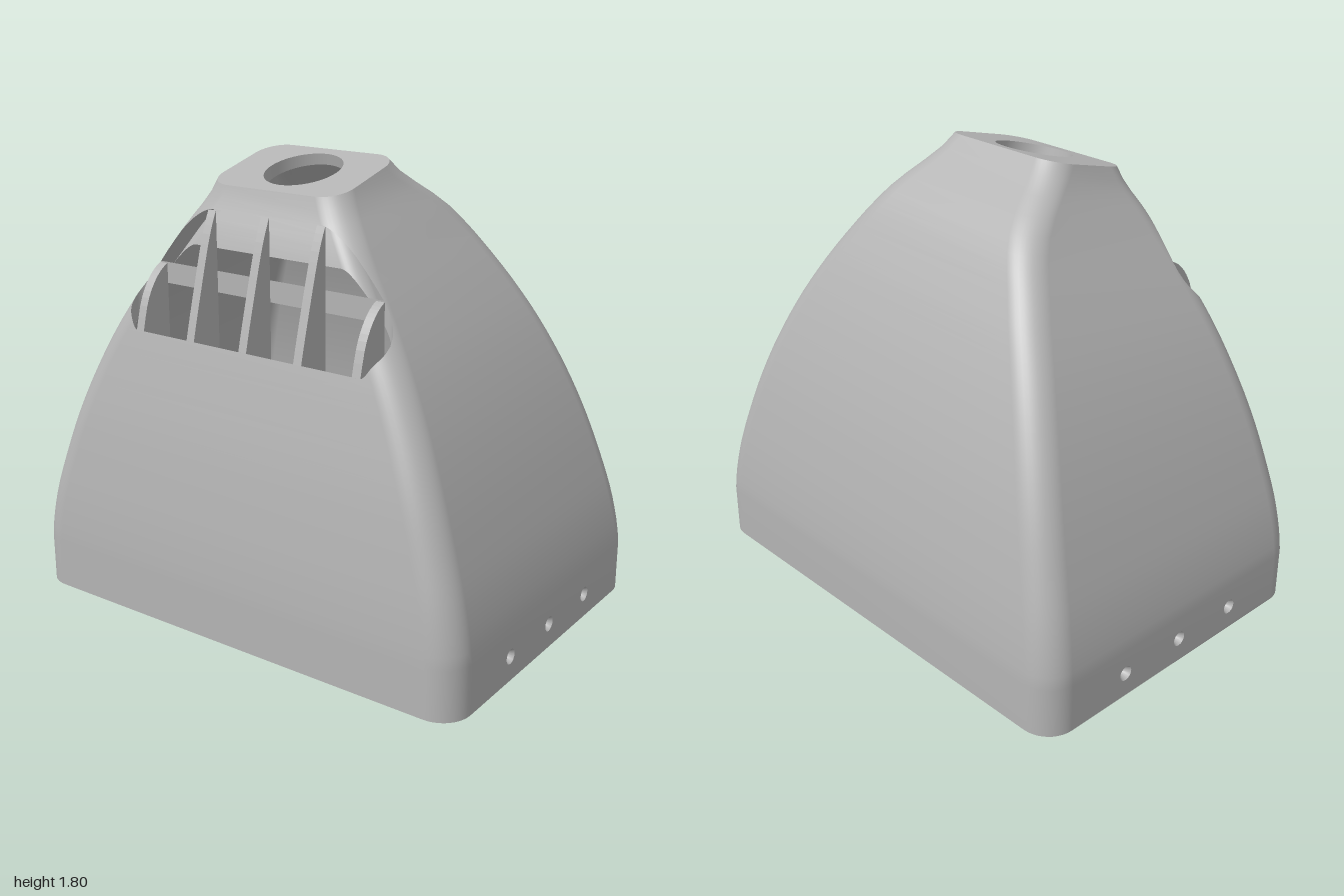
import * as THREE from 'three';

const WALL = 0.055, INNER_TOP = 0.97;

// Half-width, front depth and back depth of the hood from shoulder (t = 0) to top (t = 1)
const profile = values => {
  const curve = new THREE.SplineCurve(values.map((v, i) => new THREE.Vector2(i, v)));
  return t => curve.getPoint(THREE.MathUtils.clamp(t, 0, 1)).y;
};
const halfWidth = profile([1, 0.968, 0.912, 0.845, 0.765, 0.668, 0.55, 0.42, 0.3]);
const frontZ = profile([0.7, 0.69, 0.67, 0.645, 0.61, 0.57, 0.52, 0.465, 0.395]);
const backZ = profile([-0.7, -0.68, -0.645, -0.6, -0.54, -0.465, -0.37, -0.24, 0]);

// Rounded-rectangle cross-section, inset by d; t from -1 to 0 is the straight skirt
function section(t, d) {
  const w = halfWidth(t) - d, zf = frontZ(t) - d, zb = backZ(t) + d;
  const r = 0.12 - 0.02 * Math.max(t, 0) - d * 0.8;
  return { w, zf, zb, r, cz: (zf + zb) / 2, h: (zf - zb) / 2 };
}

// Sections tilt forward gradually towards the sloping top
function heightAt(t, z, s) {
  if (t < 0) return 0.2 * (1 + t);
  return 0.2 + 1.6 * t - 0.1 * t * (z - s.zb) / (s.zf - s.zb);
}

function sectionLoop(t, d, steps = 10) {
  const s = section(t, d), pts = [];
  [[1, 1], [-1, 1], [-1, -1], [1, -1]].forEach(([sx, sz], q) => {
    for (let i = 0; i <= steps; i++) {
      const a = (q + i / steps) * Math.PI / 2;
      const x = sx * (s.w - s.r) + s.r * Math.cos(a);
      const z = s.cz + sz * (s.h - s.r) + s.r * Math.sin(a);
      pts.push([x, heightAt(t, z, s), z]);
    }
  });
  return pts;
}

// Height of the skin above a plan point, found by bisection
function skinHeight(x, z, d) {
  let lo = 0, hi = d ? INNER_TOP : 1;
  for (let i = 0; i < 30; i++) {
    const t = (lo + hi) / 2, s = section(t, d);
    const qx = Math.abs(x) - s.w + s.r, qz = Math.abs(z - s.cz) - s.h + s.r;
    const dist = Math.hypot(Math.max(qx, 0), Math.max(qz, 0)) + Math.min(Math.max(qx, qz), 0) - s.r;
    if (dist < 0) lo = t; else hi = t;
  }
  return heightAt(lo, z, section(lo, d));
}

// Closed loops joined into a skin
function loft(loops, flip = false) {
  const n = loops[0].length, index = [];
  for (let j = 0; j < loops.length - 1; j++) {
    for (let i = 0; i < n; i++) {
      const a = j * n + i, b = j * n + (i + 1) % n, c = b + n, e = a + n;
      if (flip) index.push(a, c, e, a, b, c);
      else index.push(a, e, c, a, c, b);
    }
  }
  const g = new THREE.BufferGeometry();
  g.setAttribute('position', new THREE.Float32BufferAttribute(loops.flat(2), 3));
  g.setIndex(index);
  g.computeVertexNormals();
  return g;
}

// Cut convex outlines through a skin; u and v are the axes of the outline's plane
function cutHoles(geometry, holes) {
  const g = geometry.toNonIndexed(), P = g.attributes.position, N = g.attributes.normal;
  let polys = [];
  for (let i = 0; i < P.count; i += 3) {
    polys.push([0, 1, 2].map(k => [P.getX(i + k), P.getY(i + k), P.getZ(i + k),
      N.getX(i + k), N.getY(i + k), N.getZ(i + k)]));
  }
  for (const { outline, u, v } of holes) {
    const range = k => [Math.min(...outline.map(p => p[k])), Math.max(...outline.map(p => p[k]))];
    const [u0, u1] = range(0), [v0, v1] = range(1), kept = [];
    for (let poly of polys) {
      if (poly.every(p => p[u] < u0) || poly.every(p => p[u] > u1) ||
          poly.every(p => p[v] < v0) || poly.every(p => p[v] > v1)) { kept.push(poly); continue; }
      for (let i = 0; i < outline.length && poly.length > 2; i++) {
        const a = outline[i], b = outline[(i + 1) % outline.length], inside = [], outside = [];
        const side = p => (b[0] - a[0]) * (p[v] - a[1]) - (b[1] - a[1]) * (p[u] - a[0]);
        poly.forEach((p, k) => {
          const q = poly[(k + 1) % poly.length], sp = side(p), sq = side(q);
          (sp >= 0 ? inside : outside).push(p);
          if ((sp >= 0) !== (sq >= 0)) {
            const m = p.map((c, j) => c + (q[j] - c) * sp / (sp - sq));
            inside.push(m);
            outside.push(m);
          }
        });
        if (outside.length > 2) kept.push(outside);
        poly = inside;
      }
    }
    polys = kept;
  }
  const pos = [], nor = [];
  for (const poly of polys) {
    for (let k = 1; k < poly.length - 1; k++) {
      for (const p of [poly[0], poly[k], poly[k + 1]]) {
        pos.push(p[0], p[1], p[2]);
        nor.push(p[3], p[4], p[5]);
      }
    }
  }
  const out = new THREE.BufferGeometry();
  out.setAttribute('position', new THREE.Float32BufferAttribute(pos, 3));
  out.setAttribute('normal', new THREE.Float32BufferAttribute(nor, 3));
  return out;
}

const circle = (cu, cv, r, n) => Array.from({ length: n }, (_, i) => {
  const a = i / n * Math.PI * 2;
  return [cu + r * Math.cos(a), cv + r * Math.sin(a)];
});

// Flat sloping top with a round opening
function capGeometry(t, d, opening) {
  const toVec = ([x, z]) => new THREE.Vector2(x, z);
  const shape = new THREE.Shape(sectionLoop(t, d).map(p => toVec([p[0], p[2]])));
  shape.holes.push(new THREE.Path(opening.map(toVec)));
  const g = new THREE.ShapeGeometry(shape), p = g.attributes.position, s = section(t, d);
  for (let i = 0; i < p.count; i++) {
    const z = p.getY(i);
    p.setXYZ(i, p.getX(i), heightAt(t, z, s), z);
  }
  g.computeVertexNormals();
  return g;
}

export function createModel() {
  const group = new THREE.Group();
  const grey = new THREE.MeshStandardMaterial({ color: 0xb4b4b4, side: THREE.DoubleSide });
  grey.name = 'grey';
  const add = (name, geometry) => {
    const mesh = new THREE.Mesh(geometry, grey);
    mesh.name = name;
    group.add(mesh);
  };

  // Vent outline in plan: a slot with round ends
  const VR = 0.073, VZ = 0.498, VX = 0.517;
  const vent = circle(0, VZ, VR, 48).flatMap(([x, z], i) => {
    const shift = i < 12 || i > 36 ? VX : -VX;
    return i === 12 || i === 36 ? (i === 12 ? [[VX, z], [-VX, z]] : [[-VX, z], [VX, z]]) : [[x + shift, z]];
  });
  const boltZ = [-0.3, 0, 0.3];
  const holes = r => [{ outline: vent, u: 0, v: 2 },
    ...boltZ.map(z => ({ outline: circle(0.1, z, r, 16), u: 1, v: 2 }))];

  // Outer and inner skins
  const rows = top => [-1, ...Array.from({ length: 33 }, (_, i) => i / 32 * top)];
  add('outerShell', cutHoles(loft(rows(1).map(t => sectionLoop(t, 0))), holes(0.03)));
  add('innerShell', cutHoles(loft(rows(INNER_TOP).map(t => sectionLoop(t, WALL)), true), holes(0.016)));
  add('baseRim', loft([sectionLoop(-1, WALL), sectionLoop(-1, 0)]));

  // Top plate with its round opening
  const openTop = circle(0, 0.193, 0.148, 48), openLow = circle(0, 0.182, 0.148, 48);
  add('topPlate', capGeometry(1, 0, openTop));
  add('topPlateUnderside', capGeometry(INNER_TOP, WALL, openLow));
  const atCap = (loop, t, d) => loop.map(([x, z]) => [x, heightAt(t, z, section(t, d)), z]);
  add('topOpeningWall', loft([atCap(openLow, INNER_TOP, WALL), atCap(openTop, 1, 0)], true));

  // Vent side walls, from the inner skin to the outer skin
  const onSkin = d => vent.map(([x, z]) => [x, skinHeight(x, z, d), z]);
  add('ventWall', loft([onSkin(WALL), onSkin(0)], true));

  // Upright fins across the vent
  const FIN = 0.036;
  for (const x of [-0.503, -0.25, 0, 0.25, 0.503]) {
    const edge = Math.abs(x) + FIN / 2, pts = [];
    for (let i = 0; i <= 12; i++) {
      const z = VZ - VR + i / 12 * VR * 2;
      pts.push(new THREE.Vector2(z, skinHeight(edge, z, 0)));
    }
    pts.push(new THREE.Vector2(VZ + VR, 0.94), new THREE.Vector2(VZ - VR, 1.05));
    const g = new THREE.ExtrudeGeometry(new THREE.Shape(pts), { depth: FIN, bevelEnabled: false });
    add('ventFin', g.rotateY(-Math.PI / 2).translate(x + FIN / 2, 0, 0));
  }

  // Countersunk bolt holes on both sides
  for (const s of [-1, 1]) {
    for (const z of boltZ) {
      const ring = (x, r) => circle(0.1, z, r, 16).map(([y, w]) => [s * x, y, w]);
      add('boltHole', loft([ring(1, 0.03), ring(0.975, 0.016), ring(1 - WALL, 0.016)]));
    }
  }
  return group;
}
